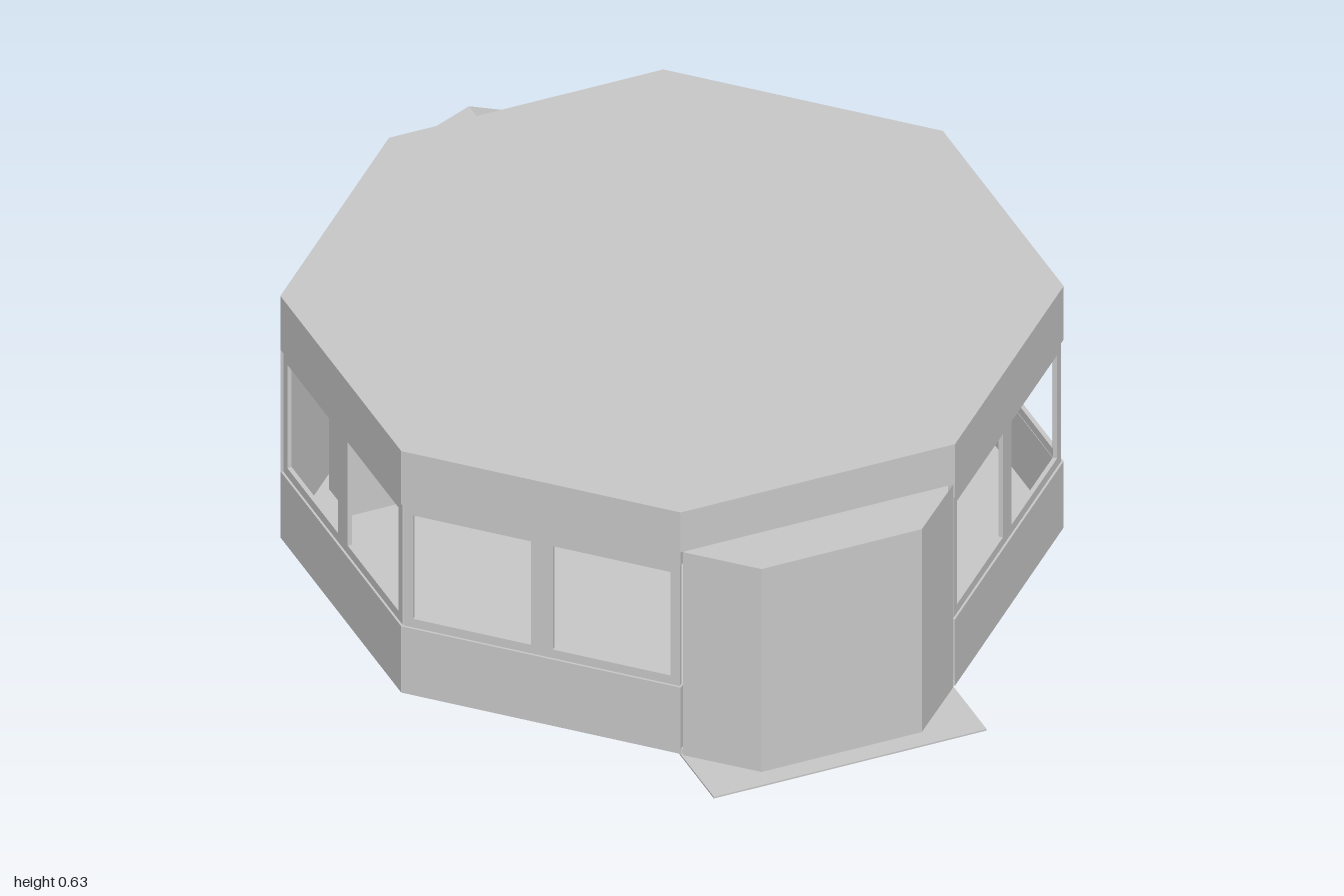
import * as THREE from 'three';

const APOTHEM = 0.765, HALF = 0.317, CZ = 0.065;

export function createModel() {
  const plaster = new THREE.MeshStandardMaterial({ color: 0xc8c8c8 });
  plaster.name = 'plasterGrey';
  const sheet = new THREE.MeshStandardMaterial({ color: 0xc8c8c8, side: THREE.DoubleSide });
  sheet.name = 'sheetGrey';

  const model = new THREE.Group();
  model.name = 'pavilion';

  const add = (parent, name, geo, x = 0, y = 0, z = 0, mat = plaster) => {
    const mesh = new THREE.Mesh(geo, mat);
    mesh.name = name;
    mesh.position.set(x, y, z);
    parent.add(mesh);
    return mesh;
  };
  const box = (parent, name, x0, x1, y0, y1, z0, z1) =>
    add(parent, name, new THREE.BoxGeometry(x1 - x0, y1 - y0, z1 - z0),
      (x0 + x1) / 2, (y0 + y1) / 2, (z0 + z1) / 2);

  // Octagonal floor and roof slabs
  const slab = (name, y0, y1) => {
    const r = APOTHEM / Math.cos(Math.PI / 8);
    const geo = new THREE.CylinderGeometry(r, r, y1 - y0, 8).toNonIndexed();
    geo.rotateY(Math.PI / 8);
    geo.computeVertexNormals();
    add(model, name, geo, 0, (y0 + y1) / 2, CZ);
  };
  slab('floor', 0.008, 0.02);
  slab('roof', 0.605, 0.627);

  // Window panel with two openings
  const framePanel = () => {
    const rect = (P, x0, x1, y0, y1) => new P([
      new THREE.Vector2(x0, y0), new THREE.Vector2(x1, y0),
      new THREE.Vector2(x1, y1), new THREE.Vector2(x0, y1)]);
    const shape = rect(THREE.Shape, -HALF + 0.004, HALF - 0.004, 0.17, 0.5);
    shape.holes.push(rect(THREE.Path, -0.292, -0.025, 0.2, 0.465),
      rect(THREE.Path, 0.025, 0.292, 0.2, 0.465));
    return new THREE.ExtrudeGeometry(shape, { depth: 0.01, bevelEnabled: false });
  };

  // Eight walls, counted from the front towards +x
  for (let i = 0; i < 8; i++) {
    const side = new THREE.Group();
    side.name = 'wall' + i;
    side.position.z = CZ;
    side.rotation.y = i * Math.PI / 4;
    model.add(side);
    const panel = (name, y0, y1) => box(side, name, -HALF, HALF, y0, y1, APOTHEM - 0.016, APOTHEM);
    if (i === 0) panel('entranceLintel', 0.525, 0.626);
    else if ([1, 2, 6, 7].includes(i)) {
      panel('upperBand', 0.49, 0.626);
      panel('lowerWall', 0.009, 0.178);
      add(side, 'windowFrame', framePanel(), 0, 0, APOTHEM - 0.015);
    } else panel('solidWall', 0.009, 0.626);
  }

  // Low wall end past the side window
  box(model, 'lowWallEnd', 0.685, 0.765, 0.009, 0.178, -0.34, -0.18);

  // Three-sided entrance screen, open at the top
  const plan = [[-0.312, 0.83], [-0.185, 0.955], [0.185, 0.955], [0.312, 0.83]];
  for (let i = 0; i < 3; i++) {
    const [x0, z0] = plan[i], [x1, z1] = plan[i + 1];
    const geo = new THREE.PlaneGeometry(Math.hypot(x1 - x0, z1 - z0), 0.523);
    const m = add(model, 'entranceScreen', geo, (x0 + x1) / 2, 0.2625, (z0 + z1) / 2, sheet);
    m.rotation.y = -Math.atan2(z1 - z0, x1 - x0);
  }
  box(model, 'doorstep', -0.315, 0.315, 0, 0.004, 0.8, 1.0);

  // Hollow passage at the back
  const half = [[0.168, 0.215], [0.168, 0.26], [0.118, 0.385], [0, 0.432]];
  const outline = [...half, ...half.slice(0, 3).reverse().map(([x, y]) => [-x, y])];
  const tunnel = new THREE.Shape(outline.map(p => new THREE.Vector2(...p)));
  tunnel.holes.push(new THREE.Path([[0.1, 0.262], [0.06, 0.355], [-0.06, 0.355], [-0.1, 0.262]]
    .map(p => new THREE.Vector2(...p))));
  add(model, 'backPassage',
    new THREE.ExtrudeGeometry(tunnel, { depth: 0.302, bevelEnabled: false }), 0, 0, -1);

  // Hanging lamp clusters
  const rod = (parent, a, b) => {
    const curve = new THREE.LineCurve3(new THREE.Vector3(...a), new THREE.Vector3(...b));
    add(parent, 'cord', new THREE.TubeGeometry(curve, 1, 0.003, 6));
  };
  for (const [x, z] of [[0.46, 0.5], [0.63, 0.075]]) {
    const lamp = new THREE.Group();
    lamp.name = 'lampCluster';
    lamp.position.set(x, 0, z);
    model.add(lamp);
    rod(lamp, [0, 0.41, 0], [0, 0.61, 0]);
    for (let k = 0; k < 3; k++) {
      const a = k * Math.PI * 2 / 3 + Math.PI / 6;
      const bx = Math.cos(a) * 0.03, bz = Math.sin(a) * 0.03;
      rod(lamp, [bx, 0.355, bz], [0, 0.415, 0]);
      add(lamp, 'globe', new THREE.SphereGeometry(0.025, 14, 10), bx, 0.34, bz);
    }
  }

  // Furniture: cabinet at the back and a stool by the entrance
  box(model, 'cabinet', -0.605, -0.465, 0.02, 0.32, -0.36, -0.25);
  add(model, 'stoolLeg', new THREE.CylinderGeometry(0.012, 0.02, 0.19, 10), -0.2, 0.11, 0.74);
  const seat = add(model, 'stoolSeat',
    new THREE.SphereGeometry(0.05, 16, 6, 0, Math.PI * 2, 0, Math.PI / 2), -0.2, 0.2, 0.74, sheet);
  seat.scale.y = 0.75;

  return model;
}
